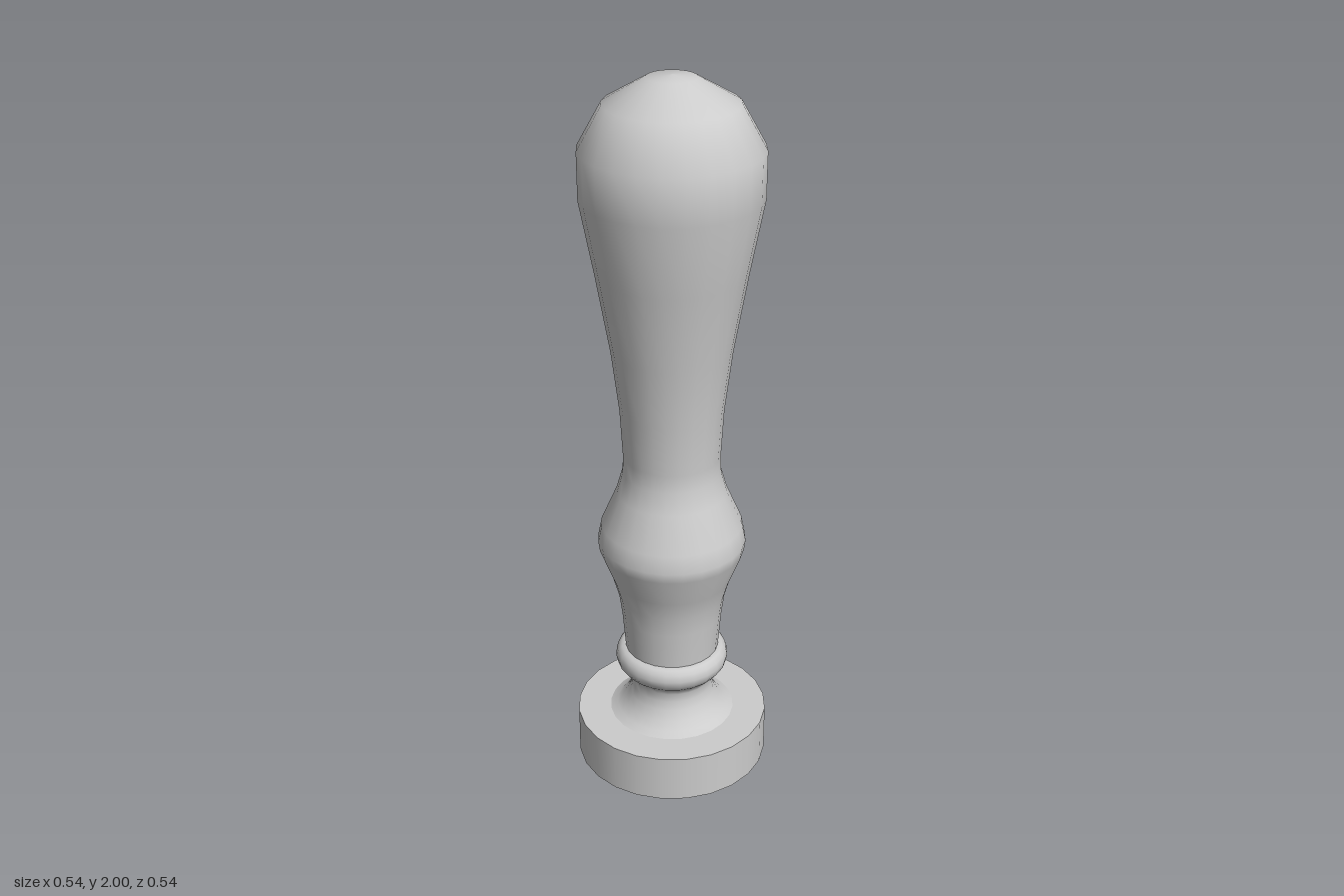
import * as THREE from 'three';

const SIDES = 24;

export function createModel() {
  const model = new THREE.Group();
  model.name = 'turnedHandle';
  const grey = new THREE.MeshStandardMaterial({ color: 0xcccccc });
  grey.name = 'plain grey';

  const add = (name, geometry) => {
    const mesh = new THREE.Mesh(geometry, grey);
    mesh.name = name;
    model.add(mesh);
    return mesh;
  };
  // Turned part from [radius, height] pairs, bottom to top
  const turned = (name, profile) =>
    add(name, new THREE.LatheGeometry(profile.map(([r, y]) => new THREE.Vector2(r, y)), SIDES));

  // Flat round foot
  add('base', new THREE.CylinderGeometry(0.272, 0.272, 0.137, SIDES)).position.y = 0.0685;

  // Flared neck rising into a rounded ring
  turned('neckAndRing', [
    [0.18, 0.136], [0.158, 0.148], [0.138, 0.168], [0.122, 0.195], [0.115, 0.22],
    [0.114, 0.245], [0.123, 0.262], [0.143, 0.28], [0.156, 0.298], [0.16, 0.317],
    [0.155, 0.336], [0.144, 0.347], [0.128, 0.352], [0, 0.352],
  ]);

  // Grip with a swelling low down and a domed club end
  turned('grip', [
    [0.132, 0.35], [0.141, 0.46], [0.149, 0.52], [0.166, 0.58], [0.201, 0.67],
    [0.205, 0.7], [0.195, 0.75], [0.152, 0.85], [0.135, 0.91], [0.133, 0.96],
    [0.141, 1.1], [0.162, 1.27], [0.2, 1.49], [0.238, 1.69], [0.239, 1.815],
    [0.175, 1.93], [0.065, 1.994], [0, 2],
  ]);

  return model;
}
